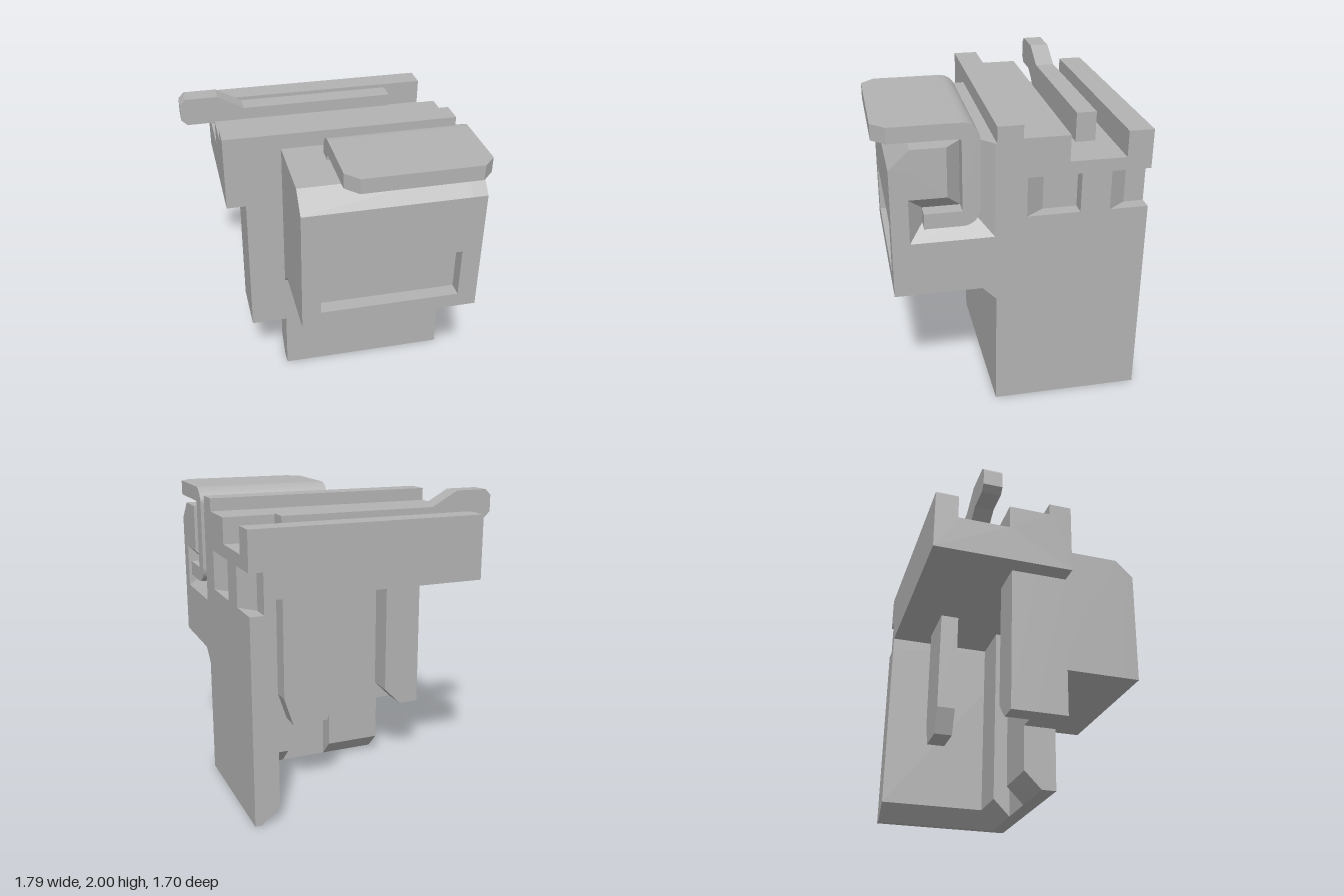
import * as THREE from 'three';
import { toCreasedNormals } from 'three/addons/utils/BufferGeometryUtils.js';

export function createModel() {
  const model = new THREE.Group();
  const grey = new THREE.MeshStandardMaterial({ color: 0xb2b2b2 });
  grey.name = 'grey plastic';

  const add = (name, geometry) => {
    const mesh = new THREE.Mesh(geometry, grey);
    mesh.name = name;
    model.add(mesh);
  };
  const toShape = (p) => (p instanceof THREE.Shape ? p : new THREE.Shape(p.map(([a, b]) => new THREE.Vector2(a, b))));
  const extrude = (p, depth) =>
    new THREE.ExtrudeGeometry(toShape(p), { depth, bevelEnabled: false, curveSegments: 10 });
  // Profile in (z, y), run from x0 to x1
  const alongX = (p, x0, x1) => extrude(p, x1 - x0).rotateY(-Math.PI / 2).translate(x1, 0, 0);
  // Profile in (x, z), run from y0 to y1
  const alongY = (p, y0, y1) => extrude(p, y1 - y0).rotateX(Math.PI / 2).translate(0, y1, 0);
  // Profile in (x, y), run from z0 to z1
  const alongZ = (p, z0, z1) => extrude(p, z1 - z0).translate(0, 0, z0);
  const box = (x0, x1, y0, y1, z0, z1) =>
    new THREE.BoxGeometry(x1 - x0, y1 - y0, z1 - z0).translate((x0 + x1) / 2, (y0 + y1) / 2, (z0 + z1) / 2);

  // Stepped head with the long groove; the outer slice carries the side windows
  const steps = [
    [0.12, 1.96], [-0.04, 1.96], [-0.04, 1.875], [-0.33, 1.875],
    [-0.33, 1.705], [-0.69, 1.705], [-0.69, 1.875], [-0.85, 1.875],
  ];
  add('head', alongX([[0.12, 1.45], ...steps, [-0.85, 1.45]], -0.68, 0.8));
  add('headSide', alongX([
    [0.12, 1.36], ...steps, [-0.85, 1.62], [-0.6, 1.62], [-0.6, 1.36],
    [-0.41, 1.36], [-0.41, 1.62], [-0.07, 1.62], [-0.07, 1.36],
  ], 0.8, 0.89));
  for (const z of [-0.07, -0.6]) {
    add('windowRamp', alongY([[0.89, z], [0.8, z], [0.8, z - 0.12]], 1.36, 1.62));
  }

  // Side wall with a chamfered inner foot
  add('sideWall', alongZ([[0.89, 0], [0.89, 1.36], [0.725, 1.36], [0.725, 0.12], [0.845, 0]], -0.85, 0.12));
  add('sideWallTop', box(0.725, 0.8, 1.36, 1.45, -0.85, 0.12));

  // Front wall: two thick chamfered runs with a slot between them
  const wall = [[0.12, 0], [0.12, 1.45], [-0.1, 1.45], [-0.1, 0.12], [0.02, 0]];
  add('frontWallLeft', alongX(wall, 0.4, 0.85));
  add('frontWallRight', alongX(wall, -0.3, 0.08));
  add('frontWallSlot', box(0.08, 0.4, 0, 1.45, 0.02, 0.12));

  // Guide column on the model's right
  add('guideColumn', box(-0.55, -0.3, 0.43, 1.45, -0.1, 0.12));
  add('guideColumnBack', alongZ([[-0.55, 0.43], [-0.41, 0.43], [-0.29, 0.55], [-0.29, 1.45], [-0.55, 1.45]], -0.27, -0.1));

  // Front housing, with a side slice cut away for the lever pocket
  const lower = [[0.12, 0.79], [0.21, 0.88], [0.665, 0.88], [0.665, 1.73], [0.765, 1.73], [0.635, 1.855]];
  const pocketOuter = [[0.42, 1.855], [0.42, 1.535], [0.655, 1.535], [0.655, 1.24], [0.13, 1.24], [0.13, 1.855]];
  const pocketInner = [[0.33, 1.855], [0.33, 1.435], [0.565, 1.435], [0.565, 1.335], [0.22, 1.335], [0.22, 1.855]];
  add('housing', alongX([...lower, [0.12, 1.855]], -0.3, 0.79));
  add('housingSide', alongX([...lower, ...pocketOuter, [0.12, 1.855]], 0.79, 0.89));

  // Sloped pocket walls narrowing to the lever
  const pos = [];
  const outer = pocketOuter.map(([z, y]) => [0.89, y, z]);
  const root = pocketOuter.map(([z, y]) => [0.79, y, z]);
  const inner = pocketInner.map(([z, y]) => [0.79, y, z]);
  const tri = (...corners) => corners.forEach((c) => pos.push(...c));
  for (let i = 0; i < 5; i++) {
    tri(outer[i], outer[i + 1], inner[i + 1]);
    tri(outer[i], inner[i + 1], inner[i]);
  }
  tri(outer[0], inner[0], root[0]);
  tri(outer[5], root[5], inner[5]);
  const slopes = new THREE.BufferGeometry();
  slopes.setAttribute('position', new THREE.Float32BufferAttribute(pos, 3));
  slopes.computeVertexNormals();
  add('pocketSlopes', slopes);

  // Front panel with a rectangular recess
  const panel = toShape([[-0.3, 0.88], [0.89, 0.88], [0.89, 1.73], [-0.3, 1.73]]);
  panel.holes.push(toShape([[-0.175, 0.98], [-0.175, 1.325], [0.76, 1.325], [0.76, 0.98]]));
  add('frontPanel', alongZ(panel, 0.665, 0.765));

  // Bent lever: hook, upright and bend, then the flat thumb plate
  const bend = new THREE.Shape();
  bend.moveTo(0.36, 2);
  bend.lineTo(0.33, 2);
  bend.absarc(0.33, 1.89, 0.11, Math.PI / 2, Math.PI, false);
  bend.lineTo(0.22, 1.445);
  bend.absarc(0.33, 1.445, 0.11, Math.PI, Math.PI * 1.5, false);
  bend.lineTo(0.565, 1.335);
  bend.lineTo(0.565, 1.435);
  bend.lineTo(0.33, 1.435);
  bend.lineTo(0.33, 1.88);
  bend.quadraticCurveTo(0.33, 1.9, 0.35, 1.9);
  bend.lineTo(0.36, 1.9);
  add('leverBend', toCreasedNormals(alongX(bend, -0.04, 0.89), 0.6));
  add('leverPlate', alongY([
    [-0.04, 0.36], [0.89, 0.36], [0.89, 0.765], [0.81, 0.85], [0.04, 0.85], [-0.04, 0.765],
  ], 1.9, 2));

  // Contact: strip in the groove with a raised tip, and a blade hanging below
  add('contactStrip', alongZ([
    [0.59, 1.7], [0.59, 1.9], [-0.46, 1.9], [-0.64, 2], [-0.86, 2], [-0.9, 1.96],
    [-0.9, 1.85], [-0.86, 1.81], [-0.69, 1.81], [-0.52, 1.7],
  ], -0.58, -0.45));
  add('contactBlade', alongZ([
    [0.23, 1.46], [0.23, 0.71], [0.29, 0.525], [0.53, 0.525], [0.59, 0.71], [0.59, 1.46],
  ], -0.58, -0.45));

  return model;
}
